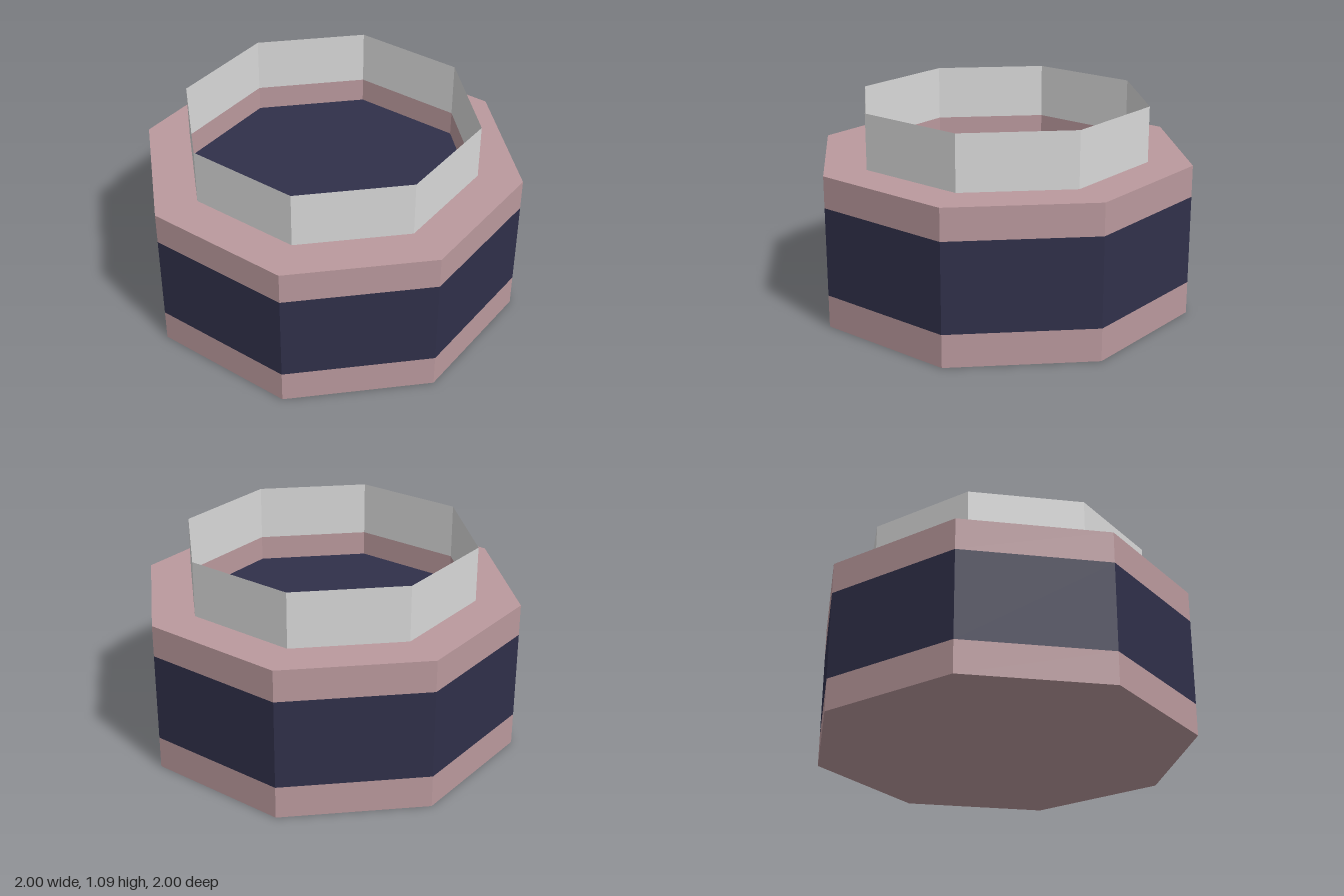
import * as THREE from 'three';

const SIDES = 8, OUTER = 1, INNER = 0.77;
const BAND_LOW = 0.17, BAND_HIGH = 0.635, FLOOR = 0.667, SHOULDER = 0.8, TOP = 1.09;

const flat = (name, color, side = THREE.FrontSide) => {
  const m = new THREE.MeshStandardMaterial({ color, side, flatShading: true });
  m.name = name;
  return m;
};

export function createModel() {
  const group = new THREE.Group();
  group.name = 'octagonalJar';
  const pink = flat('dustyPink', 0xba999d, THREE.DoubleSide);
  const navy = flat('darkNavy', 0x30304a);
  const grey = flat('lightGrey', 0xd8d8d8, THREE.DoubleSide);

  const add = (name, geometry, material, y = 0) => {
    const mesh = new THREE.Mesh(geometry, material);
    mesh.name = name;
    mesh.position.y = y;
    group.add(mesh);
  };
  // Open eight-sided wall between two heights
  const wall = (name, radius, y0, y1, material) =>
    add(name, new THREE.CylinderGeometry(radius, radius, y1 - y0, SIDES, 1, true), material, (y0 + y1) / 2);

  // Outer body in three bands
  wall('lowerBand', OUTER, 0, BAND_LOW, pink);
  wall('middleBand', OUTER, BAND_LOW, BAND_HIGH, navy);
  wall('upperBand', OUTER, BAND_HIGH, SHOULDER, pink);

  // Closed base and flat ring around the neck
  add('base', new THREE.CircleGeometry(OUTER, SIDES).rotateX(Math.PI / 2), pink);
  add('shoulder', new THREE.RingGeometry(INNER, OUTER, SIDES).rotateX(-Math.PI / 2), pink, SHOULDER);

  // Thin collar, inner well and its dark floor
  wall('collar', INNER, SHOULDER, TOP, grey);
  wall('innerWall', INNER, FLOOR, SHOULDER, pink);
  add('wellFloor', new THREE.CircleGeometry(INNER, SIDES).rotateX(-Math.PI / 2), navy, FLOOR);

  return group;
}
